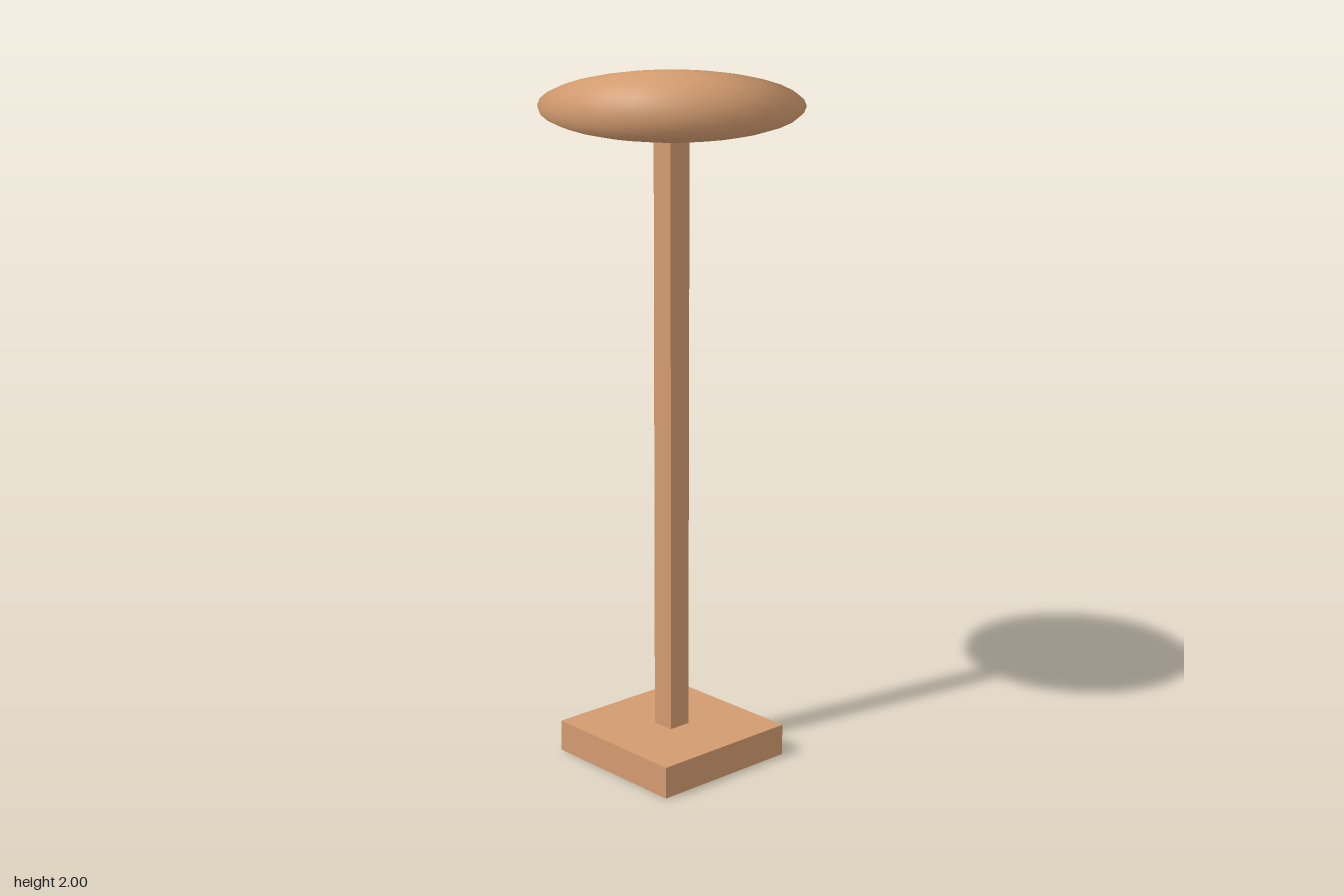
import * as THREE from 'three';

export function createModel() {
  const group = new THREE.Group();
  const material = new THREE.MeshStandardMaterial({ color: 0xd29b6f });

  const add = (name, geometry, y) => {
    const mesh = new THREE.Mesh(geometry, material);
    mesh.name = name;
    mesh.position.y = y;
    group.add(mesh);
  };

  // Square foot and slender square post
  const baseHeight = 0.093;
  const postTop = 1.83;
  add('base', new THREE.BoxGeometry(0.463, baseHeight, 0.463), baseHeight / 2);
  add('post', new THREE.BoxGeometry(0.07, postTop - baseHeight, 0.07), (postTop + baseHeight) / 2);

  // Flattened ball; only the positions are squashed, so it keeps its round shading
  const top = new THREE.SphereGeometry(0.37, 24, 16);
  const position = top.attributes.position;
  for (let i = 0; i < position.count; i++) position.setY(i, position.getY(i) * 0.25);
  add('top', top, 2 - 0.37 * 0.25);

  return group;
}
